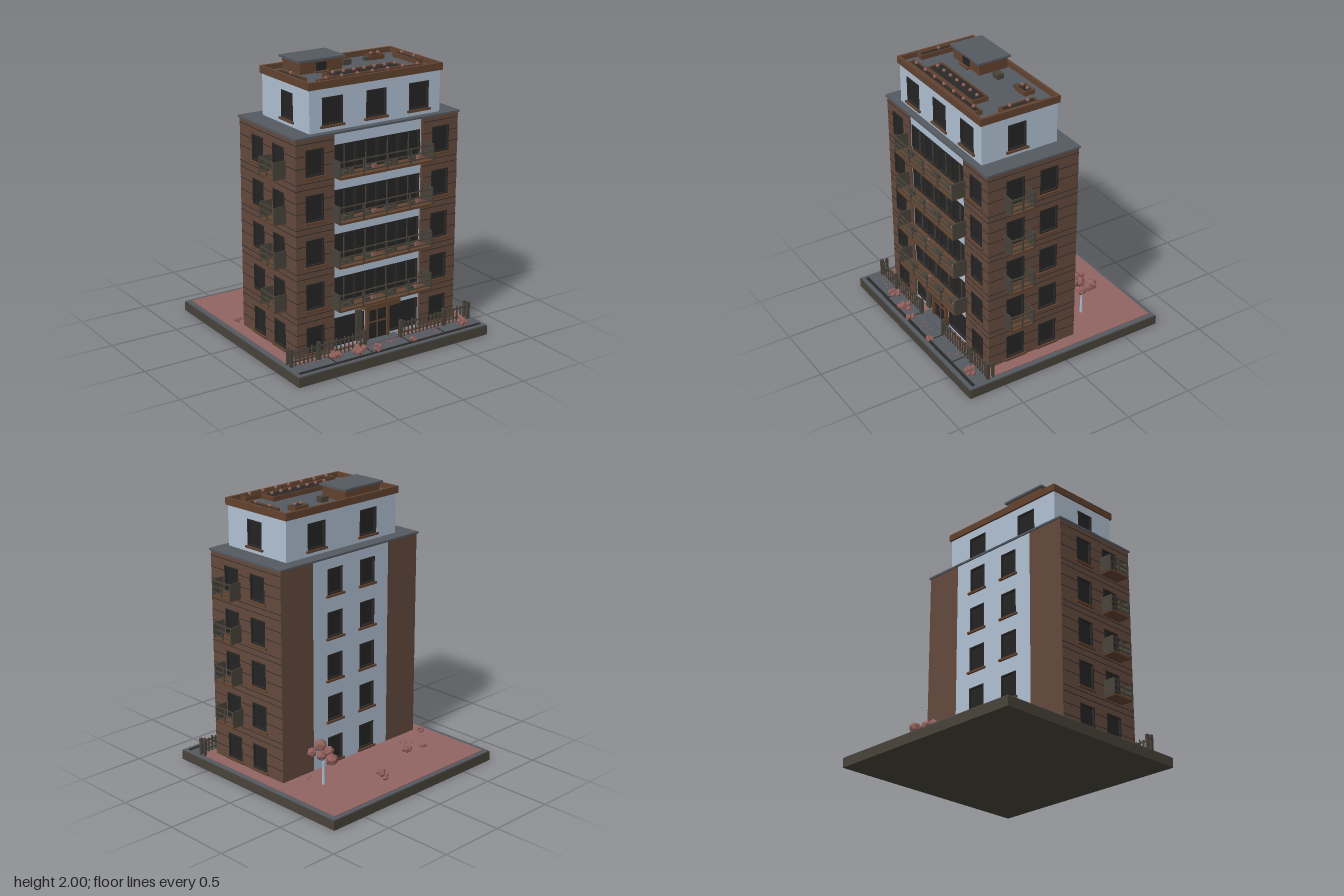
import * as THREE from 'three';

const mat = (name, color) => Object.assign(new THREE.MeshStandardMaterial({ color }), { name });

export function createModel() {
  const M = {
    brick: mat('brown brick', 0x644a3d),
    trim: mat('rust trim', 0x62422f),
    blue: mat('pale blue render', 0xafc0d2),
    slate: mat('slate', 0x555a62),
    lawn: mat('rose lawn', 0x926564),
    glass: mat('dark glass', 0x242424),
    metal: mat('dark olive metal', 0x48433a),
    line: mat('joint and soil', 0x2b2927),
    leaf: mat('rose foliage', 0x8f5f5a),
  };
  M.leaf.flatShading = true;
  const model = new THREE.Group();
  model.name = 'apartmentBuilding';

  const group = (name, parent = model, ry = 0) => {
    const g = new THREE.Group();
    g.name = name;
    g.rotation.y = ry;
    parent.add(g);
    return g;
  };
  // Box given by its extents on each axis
  const box = (p, name, m, x0, x1, y0, y1, z0, z1) => {
    const b = new THREE.Mesh(new THREE.BoxGeometry(x1 - x0, y1 - y0, z1 - z0), m);
    b.position.set((x0 + x1) / 2, (y0 + y1) / 2, (z0 + z1) / 2);
    b.name = name;
    p.add(b);
    return b;
  };
  const rect = (C, x0, x1, y0, y1) => new C([[x0, y0], [x1, y0], [x1, y1], [x0, y1]].map(a => new THREE.Vector2(...a)));
  // Upright plate with rectangular holes, front face at z
  const plate = (p, name, m, r, holes, z, depth) => {
    const s = rect(THREE.Shape, ...r);
    s.holes = holes.map(h => rect(THREE.Path, ...h));
    const w = new THREE.Mesh(new THREE.ExtrudeGeometry(s, { depth, bevelEnabled: false }), m);
    w.position.z = z - depth;
    w.name = name;
    p.add(w);
    return w;
  };
  // Recessed window with frame and sill
  const windowUnit = (p, [x0, x1, y0, y1], z, sill = true) => {
    const g = group('window', p);
    box(g, 'glass', M.glass, x0, x1, y0, y1, z - 0.02, z - 0.014);
    const t = 0.009;
    plate(g, 'frame', M.line, [x0, x1, y0, y1], [[x0 + t, x1 - t, y0 + t, y1 - t]], z + 0.003, 0.016);
    if (sill) box(g, 'sill', M.trim, x0 - 0.015, x1 + 0.015, y0 - 0.016, y0 - 0.001, z - 0.01, z + 0.014);
  };
  const wall = (p, name, m, r, wins, z) => {
    plate(p, name, m, r, wins, z, 0.02);
    wins.forEach(w => windowUnit(p, w, z));
  };

  // Plot
  const plot = group('plot');
  box(plot, 'base', M.metal, -0.78, 0.78, 0, 0.068, -0.78, 0.78);
  box(plot, 'paving', M.slate, -0.775, 0.775, 0.068, 0.074, -0.775, 0.775);
  box(plot, 'lawn', M.lawn, -0.74, 0.74, 0.074, 0.08, -0.745, 0.61);
  box(plot, 'gutter', M.line, -0.75, 0.75, 0.074, 0.078, 0.724, 0.746);
  [-0.45, -0.155, 0.155, 0.45].forEach(x => box(plot, 'pavingJoint', M.line, x - 0.003, x + 0.003, 0.074, 0.077, 0.62, 0.724));
  box(plot, 'entrancePath', M.slate, -0.15, 0.15, 0.074, 0.083, 0.5, 0.61);

  // Main block
  const floors = [0.083, 0.39, 0.697, 1.003, 1.31];
  const body = group('body');
  const winAt = (c, b) => [c - 0.07, c + 0.07, b + 0.02, b + 0.203];
  box(body, 'core', M.line, -0.625, 0.625, 0.07, 1.59, -0.125, 0.505);
  box(body, 'roofSlab', M.slate, -0.658, 0.658, 1.588, 1.602, -0.16, 0.56);

  const front = group('frontFacade', body);
  for (const s of [-1, 1]) {
    const wins = floors.map(b => winAt(s * 0.505, b));
    wall(front, 'frontWing', M.brick, s < 0 ? [-0.65, -0.36, 0.07, 1.59] : [0.36, 0.65, 0.07, 1.59], wins, 0.55);
    box(front, 'wingReturn', M.brick, s * 0.36 - 0.008, s * 0.36 + 0.008, 0.07, 1.588, 0.5, 0.549);
  }
  // Glazed bays of the centre
  const bays = floors.slice(1).map(b => [-0.345, 0.345, b + 0.01, b + 0.2]);
  const shops = [[-0.345, -0.1, 0.095, 0.3], [0.1, 0.345, 0.095, 0.3]];
  plate(front, 'centrePanel', M.blue, [-0.36, 0.36, 0.07, 1.59], [...bays, ...shops], 0.535, 0.025);
  for (const [x0, x1, y0, y1] of bays) for (let i = 0; i < 4; i++) {
    const w = (x1 - x0) / 4, a = x0 + i * w;
    windowUnit(front, [a, a + w, y0, y1], 0.532, false);
    box(front, 'mullion', M.metal, a + w / 2 - 0.003, a + w / 2 + 0.003, y0, y1, 0.515, 0.525);
  }
  shops.forEach(r => windowUnit(front, r, 0.532, false));

  const back = group('backFacade', body, Math.PI);
  wall(back, 'backPanel', M.blue, [-0.36, 0.36, 0.07, 1.59], floors.flatMap(b => [winAt(-0.155, b), winAt(0.155, b)]), 0.15);
  for (const s of [-1, 1]) box(back, 'backWing', M.brick, s * 0.5 - 0.14, s * 0.5 + 0.14, 0.07, 1.59, 0.12, 0.15);

  // Railing of bars and posts along x at depth z
  const railing = (p, x0, x1, y, z, n) => {
    const g = group('railing', p);
    [0.03, 0.07, 0.112].forEach(h => box(g, 'bar', M.metal, x0, x1, y + h - 0.004, y + h + 0.004, z - 0.004, z + 0.004));
    for (let i = 0; i <= n; i++) {
      const x = x0 + (x1 - x0) * i / n;
      box(g, 'post', M.metal, x - 0.005, x + 0.005, y, y + 0.116, z - 0.005, z + 0.005);
    }
  };
  const balcony = (p, x0, x1, y, z0, z1, n) => {
    const g = group('balcony', p);
    box(g, 'slab', M.trim, x0, x1, y - 0.005, y + 0.01, z0, z1);
    for (const x of [x0, x1]) box(g, 'endPanel', M.metal, x - 0.004, x + 0.004, y + 0.005, y + 0.12, z0, z1);
    railing(g, x0, x1, y, z1 - 0.005, n);
  };

  // Side walls: u runs along the wall, s is +1 for the model's left
  for (const s of [-1, 1]) {
    const side = group('sideFacade', body, s * Math.PI / 2);
    const u = z => -s * z;
    const span = s > 0 ? [-0.55, 0.15] : [-0.15, 0.55];
    wall(side, 'sideWall', M.brick, [...span, 0.07, 1.59], floors.flatMap(b => [winAt(u(0.08), b), winAt(u(0.34), b)]), 0.65);
    floors.slice(1).forEach(b => balcony(side, u(0.34) - 0.088, u(0.34) + 0.088, b, 0.65, 0.745, 2));
    // Brick course joints on the side and front wings
    const cut = (y, gaps, from, to, z) => {
      let a = from;
      [...gaps, [to, to]].forEach(([g0, g1]) => {
        if (g0 > a) box(side === z.p ? side : front, 'courseJoint', M.line, a, g0, y - 0.002, y + 0.002, z.d, z.d + 0.002);
        a = g1;
      });
    };
    const sg = [0.08, 0.34].map(z => [u(z) - 0.07, u(z) + 0.07]).sort((a, b) => a[0] - b[0]);
    const fw = s > 0 ? [0.36, 0.65] : [-0.65, -0.36];
    for (const b of floors) for (const [dy, open] of [[-0.02, 0], [0.085, 1], [0.165, 1], [0.245, 0]]) {
      if (b + dy < 0.075) continue;
      cut(b + dy, open ? sg : [], ...span, { p: side, d: 0.65 });
      cut(b + dy, open ? [[s * 0.505 - 0.07, s * 0.505 + 0.07]] : [], ...fw, { p: front, d: 0.55 });
    }
  }

  // Front balconies with pots and seats
  for (const b of floors.slice(1)) {
    balcony(front, -0.375, 0.375, b, 0.53, 0.652, 4);
    box(front, 'floorBand', M.slate, -0.36, 0.36, b - 0.025, b - 0.015, 0.53, 0.54);
    [-0.25, -0.07, 0.1, 0.29].forEach((x, i) => {
      box(front, 'pot', i % 2 ? M.leaf : M.metal, x - 0.014, x + 0.014, b + 0.01, b + 0.045, 0.58, 0.608);
      box(front, 'bench', M.metal, x - 0.07, x - 0.03, b + 0.01, b + 0.035, 0.57, 0.61);
    });
  }

  // Entrance
  const entry = group('entrance');
  box(entry, 'door', M.glass, -0.08, 0.08, 0.083, 0.31, 0.53, 0.545);
  box(entry, 'doorSplit', M.trim, -0.004, 0.004, 0.083, 0.3, 0.545, 0.55);
  [-0.085, 0.085].forEach(x => box(entry, 'doorPost', M.trim, x - 0.01, x + 0.01, 0.08, 0.33, 0.53, 0.56));
  box(entry, 'doorRail', M.trim, -0.08, 0.08, 0.2, 0.21, 0.545, 0.552);
  box(entry, 'lintel', M.trim, -0.095, 0.095, 0.3, 0.33, 0.53, 0.56);
  box(entry, 'canopy', M.trim, -0.14, 0.14, 0.33, 0.365, 0.53, 0.62);
  box(entry, 'noticeBoard', M.metal, -0.18, -0.135, 0.1, 0.325, 0.54, 0.56);

  // Penthouse
  const top = group('penthouse');
  const pw = c => [c - 0.08, c + 0.08, 1.645, 1.83];
  box(top, 'penthouseCore', M.line, -0.495, 0.495, 1.6, 1.895, -0.035, 0.485);
  wall(top, 'penthouseFront', M.blue, [-0.52, 0.52, 1.6, 1.9], [-0.345, 0, 0.345].map(pw), 0.512);
  wall(group('penthouseBack', top, Math.PI), 'wall', M.blue, [-0.52, 0.52, 1.6, 1.9], [-0.245, 0.245].map(pw), 0.065);
  for (const s of [-1, 1]) {
    const z = -s * 0.245;
    wall(group('penthouseSide', top, s * Math.PI / 2), 'wall', M.blue, s > 0 ? [-0.511, 0.064, 1.6, 1.9] : [-0.064, 0.511, 1.6, 1.9], [[z - 0.07, z + 0.07, 1.645, 1.83]], 0.52);
  }
  box(top, 'roofDeck', M.slate, -0.52, 0.52, 1.893, 1.903, -0.07, 0.515);
  const parapet = plate(top, 'parapet', M.trim, [-0.532, 0.532, -0.525, 0.08], [[-0.512, 0.512, -0.505, 0.06]], 0, 0.05);
  parapet.rotation.x = -Math.PI / 2;
  parapet.position.set(0, 1.89, 0);
  box(top, 'stairHut', M.trim, -0.375, -0.045, 1.9, 1.985, -0.045, 0.175);
  box(top, 'hutRoof', M.slate, -0.392, -0.028, 1.985, 2, -0.062, 0.192);
  box(top, 'hutWindow', M.glass, -0.25, -0.17, 1.915, 1.97, 0.175, 0.18);
  box(top, 'hutSill', M.trim, -0.265, -0.155, 1.905, 1.915, 0.175, 0.203);
  box(top, 'vent', M.metal, 0.012, 0.076, 1.9, 1.94, 0.06, 0.108);
  box(top, 'smallVent', M.metal, 0.215, 0.25, 1.9, 1.925, 0.04, 0.075);

  // Faceted foliage
  let seed = 7;
  const rnd = () => (seed = (seed * 16807) % 2147483647) / 2147483647;
  const blob = (p, name, r, x, y, z) => {
    const b = new THREE.Mesh(new THREE.IcosahedronGeometry(r, 0), M.leaf);
    b.position.set(x, y, z);
    b.rotation.set(rnd() * 3, rnd() * 3, rnd() * 3);
    b.name = name;
    p.add(b);
  };
  // Roof planters: extents and number of flowers
  for (const [x0, x1, z0, z1, n] of [[-0.29, 0.285, 0.31, 0.435, 7], [-0.425, 0.42, 0.442, 0.498, 7],
    [-0.51, -0.45, 0.08, 0.38, 1], [0.445, 0.507, 0.07, 0.34, 2], [0.25, 0.365, 0.008, 0.087, 2]]) {
    const g = group('planter', top), t = 0.01;
    box(g, 'soil', M.line, x0 + t, x1 - t, 1.9, 1.927, z0 + t, z1 - t);
    const rim = plate(g, 'rim', M.trim, [x0, x1, -z1, -z0], [[x0 + t, x1 - t, t - z1, -z0 - t]], 0, 0.033);
    rim.rotation.x = -Math.PI / 2;
    rim.position.set(0, 1.903, 0);
    for (let i = 0; i < n; i++) {
      const f = (i + 0.5) / n, along = x1 - x0 > z1 - z0;
      blob(g, 'flower', 0.014, along ? x0 + (x1 - x0) * f : (x0 + x1) / 2, 1.945, along ? (z0 + z1) / 2 : z0 + (z1 - z0) * f);
    }
  }

  // Garden shrubs: x, z, spread
  const garden = group('garden');
  for (const [x, z, r] of [[-0.43, 0.68, 0.05], [-0.25, 0.7, 0.055], [-0.12, 0.725, 0.035], [0.17, 0.735, 0.03], [0.63, 0.69, 0.045],
    [0.11, -0.57, 0.05], [-0.47, -0.42, 0.03], [-0.32, -0.4, 0.04], [-0.66, -0.22, 0.03]]) {
    const g = group('shrub', garden);
    for (let i = 0; i < 7; i++) {
      const a = i * 2.4;
      blob(g, 'leafClump', r * 0.42, x + Math.cos(a) * r * 0.6 * (i > 0), 0.085 + r * (0.2 + rnd() * 0.7), z + Math.sin(a) * r * 0.6 * (i > 0));
    }
  }
  // Scattered low flowers
  for (const [cx, cz, sx, sz, n] of [[-0.42, -0.28, 0.04, 0.05, 8], [0.47, -0.23, 0.05, 0.03, 5], [-0.6, 0.68, 0.08, 0.04, 6], [0.05, 0.69, 0.06, 0.03, 5], [0.35, 0.68, 0.08, 0.04, 5], [0.65, 0.68, 0.08, 0.04, 6]])
    for (let i = 0; i < n; i++) blob(garden, 'groundFlower', 0.007, cx + (rnd() * 2 - 1) * sx, 0.085 + rnd() * 0.02, cz + (rnd() * 2 - 1) * sz);
  // Tree
  const tree = group('tree', garden);
  const trunk = new THREE.Mesh(new THREE.CylinderGeometry(0.008, 0.013, 0.17, 6), M.blue);
  trunk.position.set(0.46, 0.165, -0.35);
  trunk.name = 'trunk';
  tree.add(trunk);
  [[0.46, 0.29, -0.43, 0.045], [0.42, 0.315, -0.36, 0.04], [0.5, 0.31, -0.37, 0.036], [0.43, 0.34, -0.29, 0.048], [0.52, 0.32, -0.3, 0.036]]
    .forEach(([x, y, z, r]) => blob(tree, 'crown', r, x, y, z));

  // Picket fence with an open gateway
  const fence = group('fence');
  for (const s of [-1, 1]) {
    const [a, b] = s > 0 ? [0.15, 0.735] : [-0.735, -0.15];
    [0.1, 0.165].forEach(y => box(fence, 'rail', M.metal, a, b, y, y + 0.009, 0.61, 0.618));
    for (let i = 0; i <= 18; i++) {
      const x = a + (b - a) * i / 18;
      box(fence, 'picket', M.metal, x - 0.004, x + 0.004, 0.074, 0.182 + (i % 2) * 0.01, 0.609, 0.619);
    }
    [0.735, 0.52, 0.15].forEach(x => box(fence, 'post', M.metal, s * x - 0.011, s * x + 0.011, 0.074, 0.2, 0.602, 0.625));
    box(fence, 'returnRail', M.metal, s * 0.735 - 0.004, s * 0.735 + 0.004, 0.165, 0.174, 0.57, 0.61);
    box(fence, 'returnPost', M.metal, s * 0.735 - 0.009, s * 0.735 + 0.009, 0.074, 0.195, 0.565, 0.583);
  }
  return model;
}
